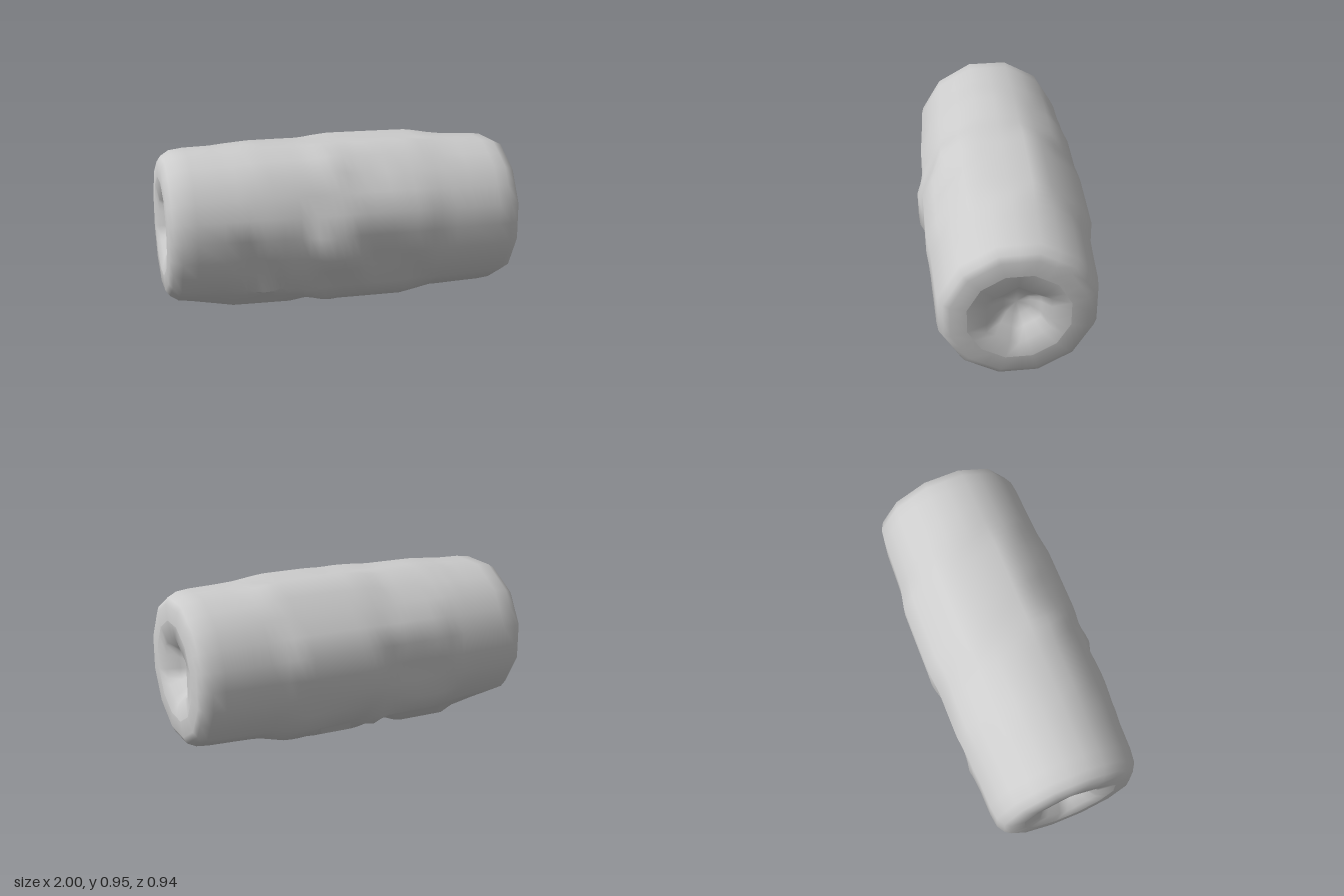
import * as THREE from 'three';
import { toCreasedNormals } from 'three/addons/utils/BufferGeometryUtils.js';

const SIDES = 24;
const CY = 0.495;

// Raised and sunken carving: centre x, centre angle, half length, half angle, skew, height.
// Angles are in degrees about the x axis, from the front (+z) up over the top.
const carving = [
  [0.22, 14, 0.3, 26, 0, 0.018], [-0.06, -12, 0.16, 14, -40, 0.035],
  [0.24, -28, 0.22, 14, -20, -0.03], [0.14, -66, 0.36, 20, 0, 0.034],
  [-0.5, -26, 0.14, 14, -60, -0.035], [-0.28, 0, 0.26, 16, -50, 0.01],
  [-0.3, -50, 0.24, 14, -50, 0.018], [-0.28, 55, 0.3, 24, 0, 0.012],
  [0.2, 64, 0.36, 18, 20, 0.022], [0.1, 40, 0.14, 8, 0, -0.015],
  [-0.48, -92, 0.24, 20, 0, 0.048], [0.18, -106, 0.34, 18, 0, 0.042],
  [0.24, 110, 0.36, 18, 0, 0.03], [-0.3, 104, 0.28, 16, 20, 0.01],
  [0.22, 165, 0.3, 24, 0, 0.03], [-0.26, 160, 0.26, 16, 30, 0.018],
  [-0.28, 188, 0.26, 12, -30, -0.02], [0.2, 212, 0.3, 18, 20, 0.03],
  [-0.3, 220, 0.28, 16, 40, 0.026], [0.1, 238, 0.16, 10, 40, -0.025],
];

const wrap = (d) => ((d + 540) % 360 + 360) % 360 - 180;

function relief(x, deg) {
  let h = 0;
  for (const [cx, ca, dx, da, skew, height] of carving) {
    const u = Math.abs((x - cx) / dx);
    const v = Math.abs(wrap(deg - ca - skew * (x - cx)) / da);
    h += height * THREE.MathUtils.clamp((1.15 - Math.max(u, v)) * 2, 0, 1);
  }
  return h;
}

// Radius of a regular polygon, with corner radius r and one corner at the given angle
function polygon(r, n, corner, deg) {
  const step = 360 / n, half = step / 2;
  const d = ((deg - corner) % step + step) % step - half;
  return r * Math.cos(THREE.MathUtils.degToRad(half)) / Math.cos(THREE.MathUtils.degToRad(d));
}

// Join rings of points, each ring being a function of the angle
function loft(rings, crease) {
  const pos = [], index = [];
  for (const ring of rings) {
    for (let j = 0; j < SIDES; j++) {
      const deg = j * 360 / SIDES, a = THREE.MathUtils.degToRad(deg);
      const { x, r, z } = ring(deg);
      pos.push(x, CY + r * Math.sin(a), z + r * Math.cos(a));
    }
  }
  for (let i = 0; i < rings.length - 1; i++) {
    for (let j = 0; j < SIDES; j++) {
      const k = (j + 1) % SIDES;
      const a = i * SIDES + j, b = a + SIDES, c = i * SIDES + k, d = c + SIDES;
      index.push(a, b, c, b, d, c);
    }
  }
  const g = new THREE.BufferGeometry();
  g.setAttribute('position', new THREE.Float32BufferAttribute(pos, 3));
  g.setIndex(index);
  return toCreasedNormals(g, crease);
}

export function createModel() {
  const group = new THREE.Group();
  const stone = new THREE.MeshStandardMaterial({ color: 0xcccccc });
  stone.name = 'pale grey stone';
  const shift = (x) => 0.018 * x;

  // Carved barrel with bevelled shoulders, twelve-sided beneath the carving
  const profile = [[-1, 0.28], [-0.997, 0.365], [-0.975, 0.395], [-0.93, 0.424], [-0.85, 0.435], [-0.7, 0.439]];
  for (let i = 0; i <= 26; i++) {
    const x = -0.62 + i * 0.047;
    profile.push([x, 0.442 + 0.008 * (1 - x * x)]);
  }
  profile.push([0.7, 0.443], [0.86, 0.438], [0.93, 0.43], [0.98, 0.405], [0.997, 0.37], [1, 0.28]);
  const barrel = new THREE.Mesh(loft(profile.map(([x, r]) => (deg) => ({
    x, r: Math.min(polygon(r, 12, 15, deg) + relief(x, deg), 0.495), z: shift(x),
  })), 0.9), stone);
  barrel.name = 'carvedBarrel';
  group.add(barrel);

  // End faces, each with a shallow six-sided tapering socket
  for (const s of [-1, 1]) {
    const steps = [[0.87, 0.001], [0.885, 0.08], [0.925, 0.14], [0.985, 0.195]];
    const rings = steps.map(([x, r]) => (deg) => ({ x: s * x, r: polygon(r, 6, 30, deg), z: shift(s) }));
    rings.push((deg) => ({ x: s, r: polygon(0.28, 12, 15, deg), z: shift(s) }));
    if (s > 0) rings.reverse();
    const end = new THREE.Mesh(loft(rings, 1), stone);
    end.name = s > 0 ? 'leftEndSocket' : 'rightEndSocket';
    group.add(end);
  }

  // Stand on the ground, centred
  const box = new THREE.Box3().setFromObject(group);
  const c = box.getCenter(new THREE.Vector3());
  group.children.forEach((m) => m.position.set(-c.x, -box.min.y, -c.z));
  return group;
}
